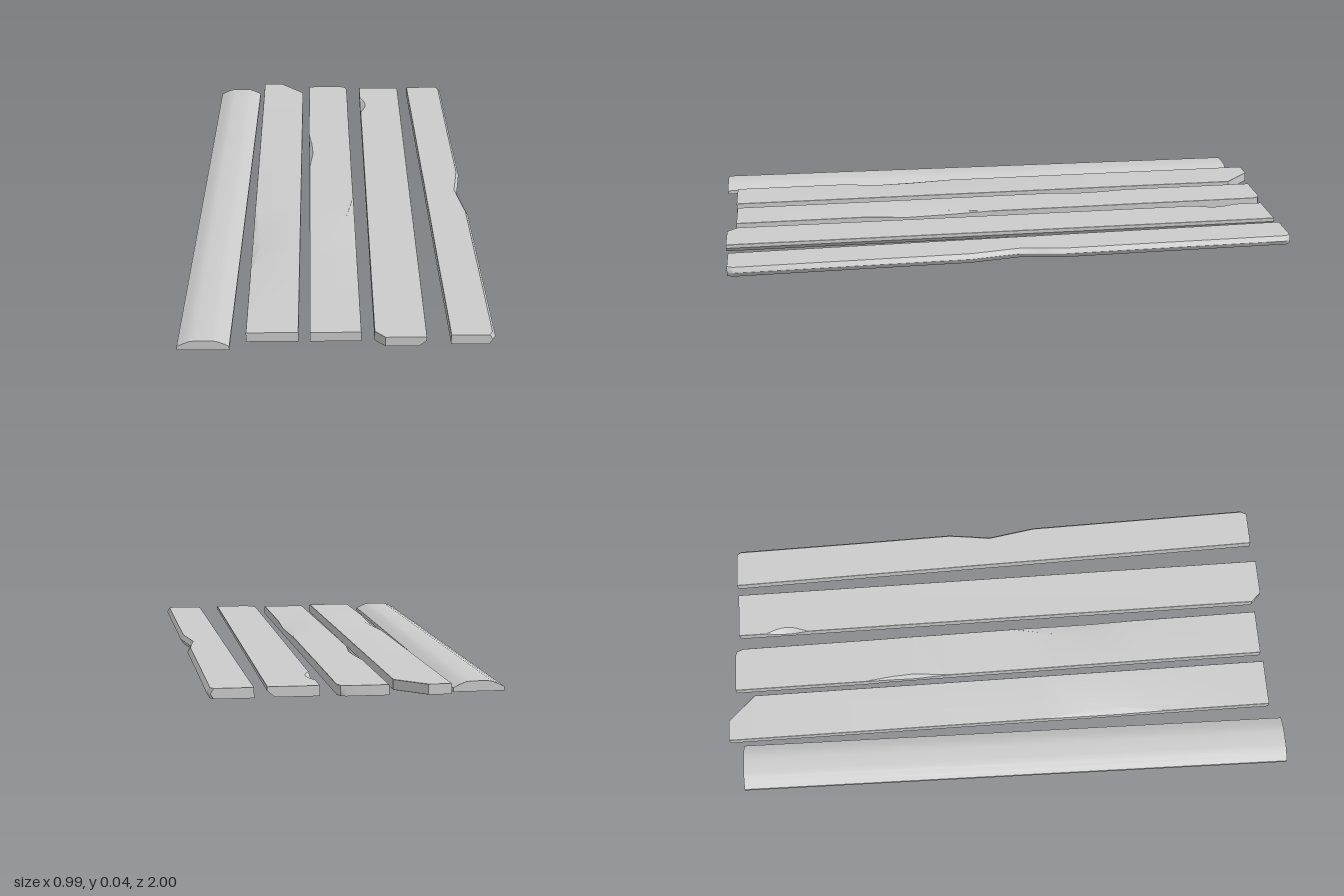
import * as THREE from 'three';
import { toCreasedNormals } from 'three/addons/utils/BufferGeometryUtils.js';

const E = 0.0008; // smallest bevel

// Skins closed cross-sections (counter-clockwise seen from +z) that run from back to front
function loft(sections) {
  const n = sections[0].length;
  const index = [];
  for (let i = 0; i < sections.length - 1; i++) {
    for (let j = 0; j < n; j++) {
      const k = (j + 1) % n;
      const a = i * n + j, b = i * n + k, c = (i + 1) * n + k, d = (i + 1) * n + j;
      index.push(a, b, c, a, c, d);
    }
  }
  const last = (sections.length - 1) * n;
  for (let j = 1; j < n - 1; j++) {
    index.push(0, j + 1, j);
    index.push(last, last + j, last + j + 1);
  }
  const geometry = new THREE.BufferGeometry();
  geometry.setAttribute('position', new THREE.Float32BufferAttribute(sections.flat(2), 3));
  geometry.setIndex(index);
  return toCreasedNormals(geometry, Math.PI / 6);
}

// Row: z, left x, right x, then width and depth of the worn left and right top edges
function plankSection([z, xl, xr, wl = E, dl = E, wr = E, dr = E], y0, y1, under) {
  return [
    [xl, y0], [xr - under[0], y0], [xr, y0 + under[1]], [xr, y1 - dr],
    [xr - wr, y1], [xl + wl, y1], [xl, y1 - dl],
  ].map(([x, y]) => [x, y, z]);
}

// Arched board with low side walls
function roundedSection([z, xl, xr]) {
  const arch = [[0, 0], [0, 0.013], [0.02, 0.023], [0.04, 0.031], [0.058, 0.033]];
  const left = arch.map(([x, y]) => [xl + x, y, z]);
  const right = arch.map(([x, y]) => [xr - x, y, z]);
  return [left[0], ...right, ...left.slice(1).reverse()];
}

export function createModel() {
  const group = new THREE.Group();
  const material = new THREE.MeshStandardMaterial({ color: 0xcccccc });
  const add = (name, sections) => {
    const mesh = new THREE.Mesh(loft(sections), material);
    mesh.name = name;
    group.add(mesh);
  };
  const plank = (name, rows, y0 = 0, y1 = 0.033, under = [E, E]) =>
    add(name, rows.map((row) => plankSection(row, y0, y1, under)));

  add('roundedPlank', [[-0.95, -0.465, -0.302], [1, -0.498, -0.335]].map(roundedSection));

  // Back corner sawn off, gentle wear on the left edge
  plank('cutCornerPlank', [
    [-1, -0.285, -0.212],
    [-0.905, -0.285, -0.121],
    [0.15, -0.285, -0.121],
    [0.3, -0.285, -0.121, 0.02, 0.006],
    [0.42, -0.285, -0.121, 0.025, 0.009],
    [0.58, -0.285, -0.121],
    [0.96, -0.285, -0.121],
  ], 0.003, 0.036);

  // Rounded back corner, worn along both edges
  plank('wornPlank', [
    [-0.975, -0.095, 0.04],
    [-0.968, -0.095, 0.055],
    [-0.945, -0.095, 0.064],
    [-0.5, -0.095, 0.066],
    [-0.4, -0.092, 0.067, 0.01, 0.01],
    [-0.32, -0.092, 0.068, 0.014, 0.014],
    [-0.2, -0.091, 0.068],
    [0.05, -0.09, 0.07],
    [0.2, -0.089, 0.071, E, E, 0.03, 0.006],
    [0.34, -0.088, 0.072, E, E, 0.035, 0.009],
    [0.5, -0.087, 0.073],
    [0.955, -0.085, 0.076],
  ]);

  // Scooped chip near the back, front corner cut, lower right edge bevelled
  const chip = [];
  for (let i = 0; i <= 8; i++) {
    const s = Math.max(Math.sin((i / 8) * Math.PI), 0.04);
    chip.push([-0.86 + i * 0.019, 0.117, 0.279, 0.021 * s, 0.016 * s]);
  }
  plank('chippedPlank', [
    [-0.96, 0.117, 0.279],
    ...chip,
    [0.95, 0.117, 0.279],
    [0.985, 0.15, 0.279],
  ], 0, 0.033, [0.025, 0.02]);

  // Narrow skewed board with a notch and a pointed right edge
  const edge = [0.01, 0.016];
  plank('notchedPlank', [
    [-0.965, 0.319, 0.452],
    [-0.95, 0.319, 0.462],
    [-0.5, 0.328, 0.468],
    [-0.16, 0.334, 0.474],
    [-0.08, 0.336, 0.464],
    [-0.01, 0.337, 0.454],
    [0.06, 0.338, 0.465],
    [0.16, 0.34, 0.481],
    [0.5, 0.346, 0.487],
    [0.955, 0.355, 0.495],
    [0.975, 0.355, 0.485],
  ].map((row) => [...row, E, E, ...edge]), 0, 0.033, edge);

  return group;
}
